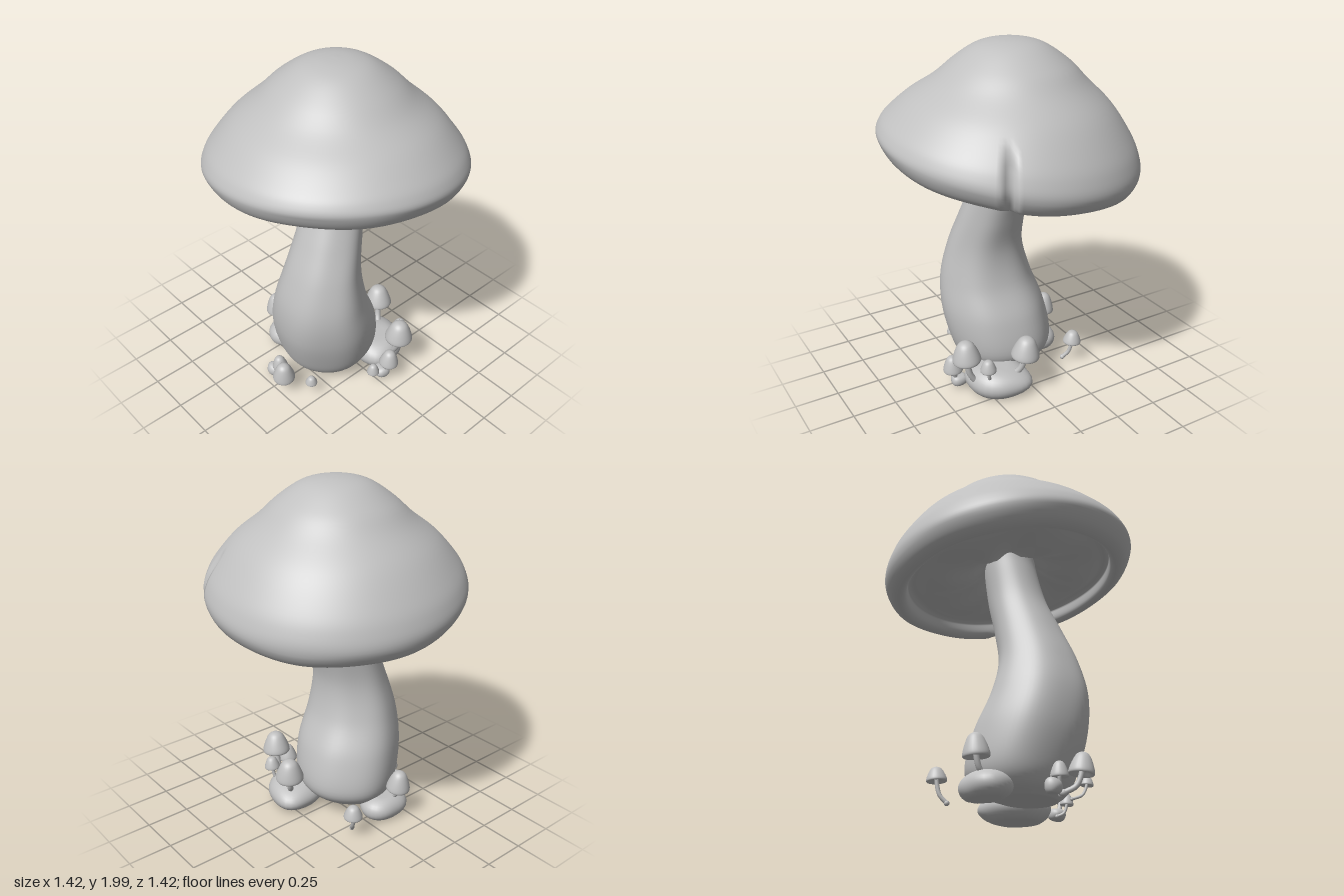
import * as THREE from 'three';
import { mergeVertices } from 'three/addons/utils/BufferGeometryUtils.js';

const material = new THREE.MeshStandardMaterial({ color: 0xc0c0c0 });
material.name = 'plain grey';

// Move every vertex by a rule, then weld seams and smooth
function reshape(geometry, rule) {
  const pos = geometry.attributes.position;
  const v = new THREE.Vector3();
  for (let i = 0; i < pos.count; i++) {
    v.fromBufferAttribute(pos, i);
    rule(v);
    pos.setXYZ(i, v.x, v.y, v.z);
  }
  geometry.deleteAttribute('uv');
  geometry.deleteAttribute('normal');
  const welded = mergeVertices(geometry, 1e-4);
  welded.computeVertexNormals();
  return welded;
}

function mesh(name, geometry) {
  const m = new THREE.Mesh(geometry, material);
  m.name = name;
  return m;
}

const smoothProfile = (points, n) =>
  new THREE.SplineCurve(points.map(([r, y]) => new THREE.Vector2(r, y))).getPoints(n)
    .map((p) => p.setX(Math.max(0, p.x)));

// Large cap: bulging gill ring, curled lip and bell-shaped top, tilted to one corner
function bigCap() {
  const under = smoothProfile([
    [0, 1.47], [0.13, 1.455], [0.24, 1.395], [0.36, 1.365], [0.47, 1.375], [0.545, 1.4], [0.58, 1.385],
  ], 32);
  const outer = smoothProfile([
    [0.58, 1.385], [0.59, 1.33], [0.625, 1.31], [0.675, 1.34], [0.71, 1.415], [0.695, 1.485],
    [0.65, 1.56], [0.55, 1.677], [0.42, 1.784], [0.32, 1.877], [0.2, 1.96], [0.1, 1.992], [0, 2],
  ], 60);
  const geometry = new THREE.LatheGeometry([...under, ...outer.slice(1)], 200);
  const crack = Math.atan2(-0.62, 0.36);
  return reshape(geometry, (v) => {
    const r = Math.hypot(v.x, v.z);
    const a = Math.atan2(v.z, v.x);
    const inside = r < 0.579 && v.y < 1.6;
    const tilt = THREE.MathUtils.clamp((1.85 - v.y) / 0.45, 0, 1);
    const lean = (0.122 * v.x + 0.115 * v.z) * (inside ? 1 : tilt);
    // Broad folds below, faint waves along the lip
    if (inside) v.y += 0.022 * Math.sin(6 * a + 4 * r) * Math.sin((r / 0.58) * Math.PI);
    else if (v.y < 1.4) v.y += 0.003 * Math.sin(7 * a + 1) * THREE.MathUtils.clamp((r - 0.58) / 0.04, 0, 1);
    // Narrow crack in the rim
    if (!inside && r > 0.59) {
      const gap = Math.max(0, 1 - Math.abs(a - crack) / 0.055);
      const fade = THREE.MathUtils.clamp((r - 0.59) / 0.08, 0, 1);
      v.x *= 1 - 0.08 * gap * fade;
      v.z *= 1 - 0.08 * gap * fade;
    }
    v.y += lean;
  });
}

// Bent stem from the extents of its cross-sections: y, minX, maxX, minZ, maxZ
function bigStem() {
  const rows = [
    [0.05, -0.14, 0.18, -0.02, 0.26], [0.1, -0.24, 0.25, -0.13, 0.325], [0.2, -0.29, 0.305, -0.2, 0.375],
    [0.4, -0.27, 0.343, -0.165, 0.425], [0.6, -0.21, 0.335, -0.075, 0.425], [0.8, -0.155, 0.295, -0.043, 0.37],
    [1.0, -0.135, 0.245, -0.08, 0.285], [1.2, -0.13, 0.195, -0.13, 0.2], [1.4, -0.14, 0.16, -0.15, 0.155],
    [1.5, -0.14, 0.145, -0.15, 0.145],
  ];
  const side = (x, z) => new THREE.CatmullRomCurve3(
    rows.map((q) => new THREE.Vector3(q[x], q[0], q[z])), false, 'catmullrom');
  const low = side(1, 3), high = side(2, 4);
  const N = 60;
  const points = [new THREE.Vector2(0, 0)];
  for (let i = 0; i <= N; i++) points.push(new THREE.Vector2(1, i / N));
  points.push(new THREE.Vector2(0, 1));
  return reshape(new THREE.LatheGeometry(points, 64), (v) => {
    const a = low.getPoint(v.y), b = high.getPoint(v.y);
    const ang = Math.atan2(v.z, v.x);
    const ripple = 1 + 0.015 * Math.sin(6 * ang + 2 * a.y) * Math.sin(Math.PI * v.y);
    v.set(
      (a.x + b.x) / 2 + v.x * ripple * (b.x - a.x) / 2,
      a.y,
      (a.z + b.z) / 2 + v.z * ripple * (b.z - a.z) / 2,
    );
  });
}

// Lumpy flat-bottomed stone, steep-sided
function rock(name, [x, y, z], [rx, ry, rz], seed) {
  const m = mesh(name, reshape(new THREE.SphereGeometry(1, 32, 20), (v) => {
    const flat = Math.hypot(v.x, v.z);
    const swell = flat > 0 ? Math.pow(flat, 0.75) / flat : 1;
    const lump = 1 + 0.05 * Math.sin(3 * v.x + seed) + 0.05 * Math.sin(4 * v.z + 2 * seed);
    v.x *= swell * lump;
    v.z *= swell * lump;
    v.y = THREE.MathUtils.clamp(v.y * (1 + 0.12 * Math.sin(2.5 * v.x + seed)), -0.85, 1);
    v.multiply(new THREE.Vector3(rx, ry, rz));
  }));
  m.position.set(x, y, z);
  return m;
}

// Small mushroom: curved stem from base to the cap's rim height
function littleMushroom(name, base, rim, r, h) {
  const group = new THREE.Group();
  group.name = name;
  const a = new THREE.Vector3(...base), b = new THREE.Vector3(...rim);
  const up = new THREE.Vector3((b.x - a.x) * 0.4, 0.3, (b.z - a.z) * 0.4).normalize();
  const mid = a.clone().lerp(b, 0.5).add(new THREE.Vector3((b.x - a.x) * 0.2, -0.012, (b.z - a.z) * 0.2));
  const end = b.clone().addScaledVector(up, h * 0.4);
  const path = new THREE.CatmullRomCurve3([a, mid, b, end]);
  const stem = mesh('littleStem', new THREE.TubeGeometry(path, 16, r * 0.22, 10));
  const foot = mesh('littleFoot', new THREE.SphereGeometry(r * 0.28, 12, 8));
  foot.position.copy(a);
  const profile = smoothProfile([
    [0, 0.35], [0.5, 0.25], [0.85, 0.03], [0.95, -0.02], [1.02, 0.07],
    [0.95, 0.28], [0.76, 0.6], [0.53, 0.86], [0.25, 0.98], [0, 1],
  ], 30).map((p) => new THREE.Vector2(p.x * r, p.y * h));
  const cap = mesh('littleCap', reshape(new THREE.LatheGeometry(profile, 28), () => {}));
  cap.position.copy(b);
  cap.quaternion.setFromUnitVectors(new THREE.Vector3(0, 1, 0), up);
  group.add(stem, foot, cap);
  return group;
}

export function createModel() {
  const model = new THREE.Group();
  model.name = 'mushroom';
  model.add(mesh('cap', bigCap()), mesh('stem', bigStem()));

  // Stones around the foot
  const backRock = rock('backRock', [0.175, 0.085, -0.175], [0.2, 0.085, 0.165], 1);
  backRock.rotation.y = -Math.PI / 4;
  model.add(
    backRock,
    rock('sideRock', [-0.26, 0.072, 0.145], [0.128, 0.07, 0.138], 2.4),
    rock('frontPebble', [-0.08, 0.05, 0.43], [0.045, 0.042, 0.042], 4),
    rock('smallPebble', [0.365, 0.06, -0.04], [0.047, 0.038, 0.047], 5),
  );

  // Small mushrooms: base, rim centre, cap radius, cap height
  const sprouts = [
    [[0.32, 0.1, -0.17], [0.375, 0.258, -0.165], 0.08, 0.125],
    [[0.13, 0.12, -0.24], [0.07, 0.258, -0.292], 0.08, 0.125],
    [[0.25, 0.12, -0.23], [0.29, 0.215, -0.26], 0.045, 0.07],
    [[-0.27, 0.11, 0.17], [-0.35, 0.2, 0.18], 0.068, 0.12],
    [[0.0, 0.035, 0.41], [0.065, 0.125, 0.47], 0.064, 0.11],
    [[0.02, 0.035, 0.37], [-0.032, 0.105, 0.42], 0.045, 0.078],
    [[0.13, 0.04, 0.33], [0.195, 0.11, 0.37], 0.034, 0.048],
    [[0.35, 0.06, -0.03], [0.408, 0.145, -0.055], 0.056, 0.095],
    [[0.33, 0.04, 0.0], [0.37, 0.1, 0.035], 0.036, 0.06],
    [[-0.3, 0.04, -0.13], [-0.345, 0.15, -0.16], 0.053, 0.075],
  ];
  sprouts.forEach((s, i) => model.add(littleMushroom('littleMushroom' + (i + 1), ...s)));
  return model;
}
